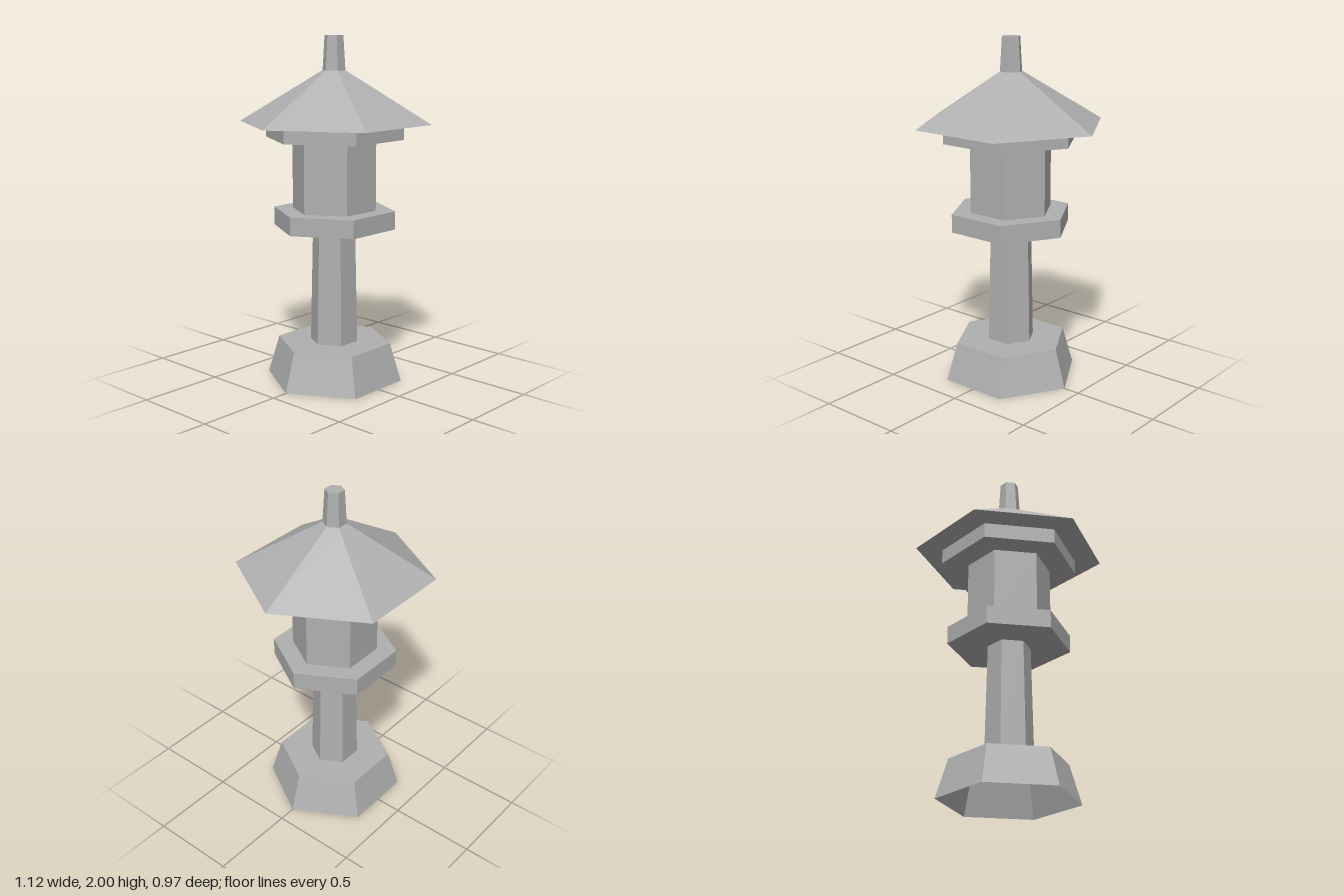
import * as THREE from 'three';

const stone = new THREE.MeshStandardMaterial({ color: 0xb0b0b0, flatShading: true, side: THREE.DoubleSide });
stone.name = 'grey stone';

// Six-sided tapered block with corners on the x axis
function hexBlock(name, y0, y1, r0, r1, open = false) {
  const h = y1 - y0;
  const geometry = new THREE.CylinderGeometry(r1, r0, h, 6, 1, open, Math.PI / 6);
  const mesh = new THREE.Mesh(geometry, stone);
  mesh.name = name;
  mesh.position.y = y0 + h / 2;
  return mesh;
}

export function createModel() {
  const lantern = new THREE.Group();
  lantern.name = 'stoneLantern';

  // Hollow foot: sloping walls, closed on top, open underneath
  const base = new THREE.Group();
  base.name = 'base';
  const baseTop = new THREE.Mesh(new THREE.CircleGeometry(0.335, 6), stone);
  baseTop.name = 'baseTop';
  baseTop.rotation.x = -Math.PI / 2;
  baseTop.position.y = 0.225;
  base.add(hexBlock('baseWalls', 0, 0.225, 0.402, 0.335, true), baseTop);

  lantern.add(
    base,
    hexBlock('post', 0.225, 0.905, 0.14, 0.125),
    hexBlock('platform', 0.905, 1.01, 0.358, 0.358),
    hexBlock('lightChamber', 1.01, 1.42, 0.245, 0.245),
    hexBlock('eavesSlab', 1.42, 1.508, 0.402, 0.402),
    hexBlock('roof', 1.508, 1.805, 0.558, 0.066),
    hexBlock('finial', 1.805, 2, 0.066, 0.054),
  );
  return lantern;
}
